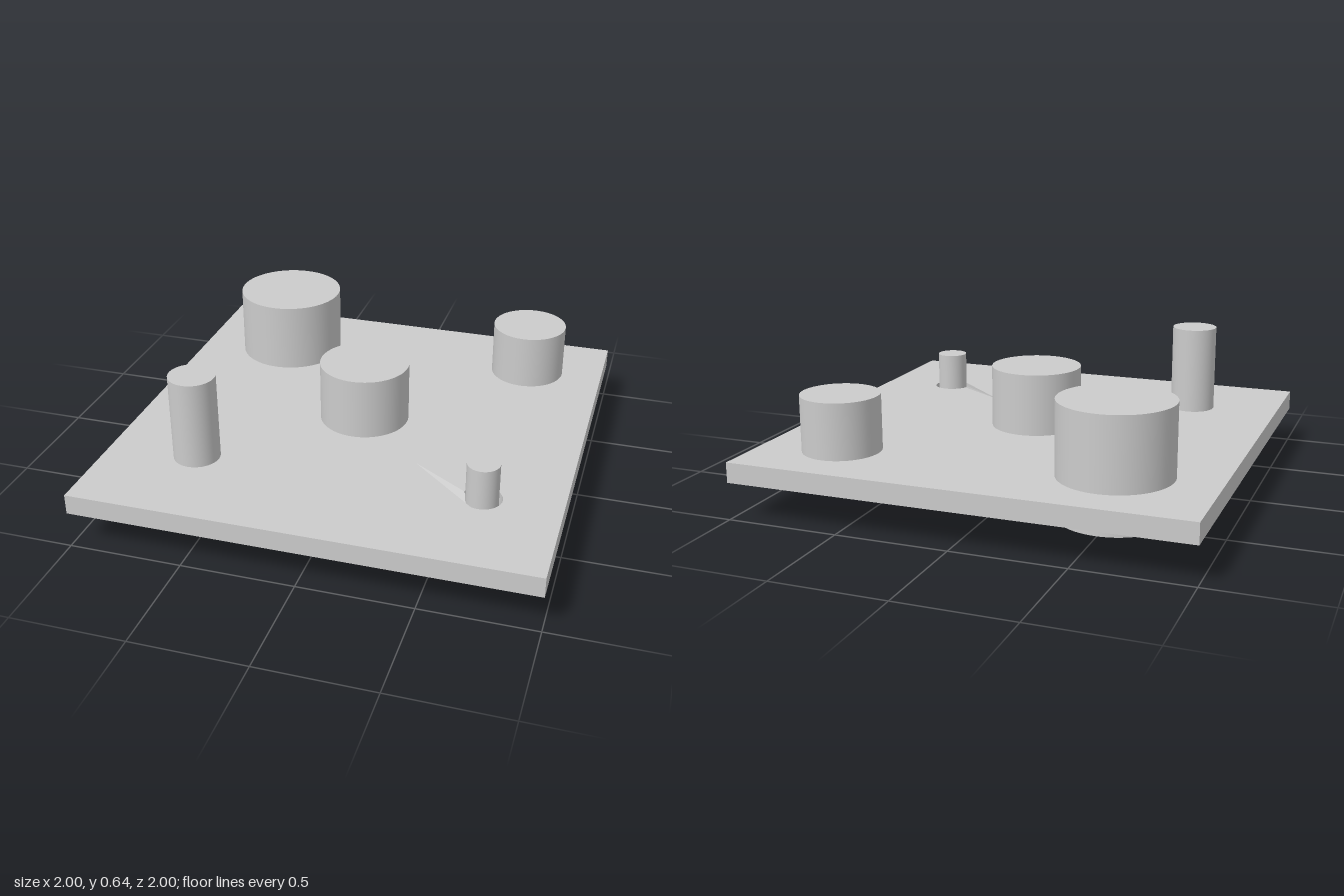
import * as THREE from 'three';

const BOTTOM = 0.163, FLOOR = 0.232, TOP = 0.252;
const PIN = { x: 0.66, z: 0.53, r: 0.07 };
const rad = THREE.MathUtils.degToRad;

export function createModel() {
  const model = new THREE.Group();
  const grey = new THREE.MeshStandardMaterial({ color: 0xcccccc });
  const thin = new THREE.MeshStandardMaterial({ color: 0xcccccc, side: THREE.DoubleSide });

  const add = (name, geometry, material = grey) => {
    const mesh = new THREE.Mesh(geometry, material);
    mesh.name = name;
    model.add(mesh);
    return mesh;
  };

  // Square slab between two heights; the shape's y axis becomes -z
  const slab = (name, y0, y1, hole) => {
    const shape = new THREE.Shape([[-1, -1], [1, -1], [1, 1], [-1, 1]].map(p => new THREE.Vector2(...p)));
    shape.holes.push(hole);
    const geometry = new THREE.ExtrudeGeometry(shape, { depth: y1 - y0, bevelEnabled: false, curveSegments: 32 });
    geometry.rotateX(-Math.PI / 2);
    add(name, geometry).position.y = y0;
  };

  // Lower layer: crescent gap around the small pin
  const gap = new THREE.Path();
  gap.absarc(PIN.x, -PIN.z, 0.086, rad(-56), rad(161), false);
  gap.absarc(PIN.x, -PIN.z, PIN.r, rad(161), rad(304), false);
  gap.closePath();
  slab('plateBase', BOTTOM, FLOOR, gap);

  // Upper layer: the gap widened by a wedge-shaped groove
  const wedge = new THREE.Path();
  wedge.absarc(PIN.x, -PIN.z, 0.086, rad(-110), rad(161), false);
  wedge.lineTo(0.33, -0.34);
  wedge.closePath();
  slab('plateTop', FLOOR, TOP, wedge);

  // Sloping floor of the groove
  const floor = new THREE.BufferGeometry();
  floor.setAttribute('position', new THREE.Float32BufferAttribute(
    [0.33, TOP, 0.34, 0.625, FLOOR + 0.001, 0.608, 0.579, TOP, 0.502], 3));
  floor.computeVertexNormals();
  add('grooveFloor', floor, thin);

  // Round pegs through the plate: name, x, z, radius, bottom, top
  const pegs = [
    ['largePeg', -0.56, -0.595, 0.245, 0.08, 0.57],
    ['backPeg', 0.64, -0.665, 0.172, 0.155, 0.5],
    ['centrePeg', 0, 0, 0.202, 0.122, 0.528],
    ['tallPeg', -0.6, 0.547, 0.102, 0, 0.645],
    ['smallPin', PIN.x, PIN.z, PIN.r, 0.056, 0.42],
  ];
  for (const [name, x, z, r, y0, y1] of pegs) {
    add(name, new THREE.CylinderGeometry(r, r, y1 - y0, 64)).position.set(x, (y0 + y1) / 2, z);
  }

  return model;
}
